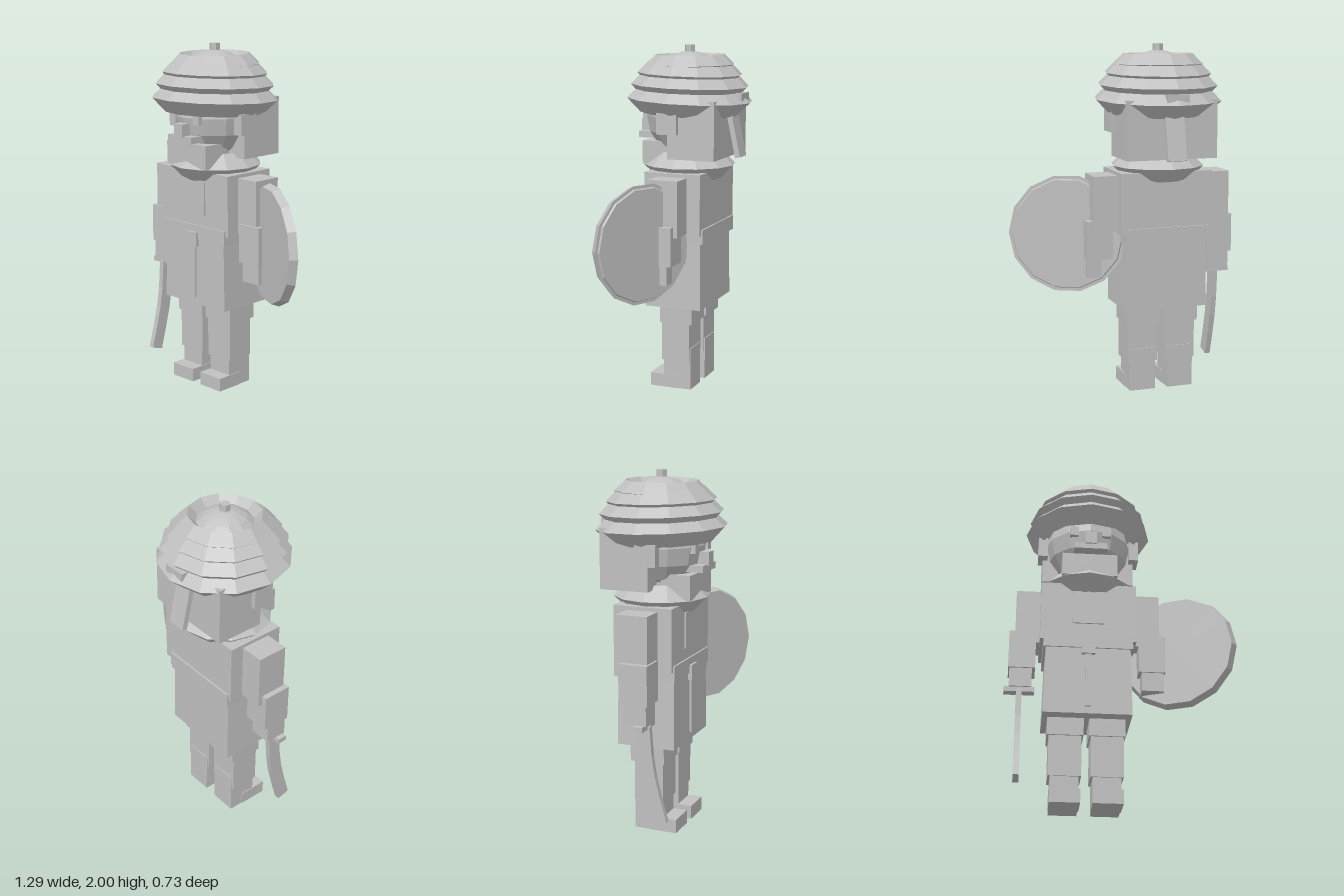
import * as THREE from 'three';

export function createModel() {
  const root = new THREE.Group();
  const grey = new THREE.MeshStandardMaterial({ color: 0xc0c0c0, flatShading: true });
  grey.name = 'stone grey';

  const figure = new THREE.Group();
  figure.name = 'figure';
  figure.position.x = -0.185;
  root.add(figure);

  const add = (name, geometry, x = 0, y = 0, z = 0, parent = figure) => {
    const mesh = new THREE.Mesh(geometry, grey);
    mesh.name = name;
    mesh.position.set(x, y, z);
    parent.add(mesh);
    return mesh;
  };
  // Box from its limits: x centre and width, then y and z ranges
  const block = (name, x, w, y0, y1, z0, z1) =>
    add(name, new THREE.BoxGeometry(w, y1 - y0, z1 - z0), x, (y0 + y1) / 2, (z0 + z1) / 2);
  // Diamond-section ring lying flat, slightly tilted
  const ring = (name, radius, tube, y, tilt = 0) => {
    const g = new THREE.TorusGeometry(radius, tube, 4, 12).rotateX(Math.PI / 2);
    add(name, g, 0, y, 0).rotation.x = tilt;
  };

  // Legs and boots
  for (const s of [-1, 1]) {
    const x = s * 0.115;
    block('thigh', x, 0.2, 0.4, 0.56, -0.1, 0.1);
    block('lowerLeg', x, 0.18, 0.17, 0.4, -0.08, 0.09);
    block('boot', x, 0.155, 0, 0.25, -0.085, 0.083);
    block('foot', x, 0.165, 0, 0.078, 0, 0.165);
  }

  // Tunic skirt, flared a little towards the hem
  const skirt = new THREE.BoxGeometry(0.47, 0.45, 0.33);
  const p = skirt.attributes.position;
  for (let i = 0; i < p.count; i++) {
    if (p.getY(i) < 0) p.setXYZ(i, p.getX(i) * 1.045, p.getY(i), p.getZ(i) * 1.02);
  }
  add('skirt', skirt, 0, 0.725, 0.005);

  // Torso, belt and sash
  block('torso', 0, 0.54, 0.94, 1.29, -0.17, 0.17);
  block('chestPanel', 0, 0.18, 1.04, 1.24, 0.17, 0.179);
  block('belt', 0, 0.5, 0.89, 0.975, -0.18, 0.18);
  block('sashKnot', 0, 0.075, 0.85, 0.935, 0.165, 0.195);
  block('sashTail', 0, 0.032, 0.54, 0.87, 0.165, 0.185);

  // Arms
  for (const s of [-1, 1]) {
    block('upperArm', s * 0.338, 0.14, 0.95, 1.27, -0.09, 0.088);
    block('forearm', s * 0.365, 0.15, 0.79, 1.012, -0.065, 0.1);
    block('hand', s * 0.37, 0.125, 0.68, 0.8, -0.035, 0.09);
  }

  // Sword: guard and a curved blade of short straight pieces
  block('swordGuard', -0.375, 0.17, 0.652, 0.682, 0.025, 0.08);
  const blade = [[0.66, 0.055], [0.5, 0.066], [0.38, 0.085], [0.26, 0.115], [0.13, 0.152]];
  for (let i = 0; i < blade.length - 1; i++) {
    const [y0, z0] = blade[i], [y1, z1] = blade[i + 1];
    const g = new THREE.BoxGeometry(0.032, Math.hypot(y1 - y0, z1 - z0) + 0.008, 0.076);
    add('swordBlade', g, -0.375, (y0 + y1) / 2, (z0 + z1) / 2).rotation.x = Math.atan2(z0 - z1, y0 - y1);
  }

  // Neck scarf and neck
  ring('neckScarf', 0.187, 0.08, 1.315);
  add('neck', new THREE.CylinderGeometry(0.15, 0.15, 0.2, 10), 0, 1.32, 0);

  // Head
  add('face', new THREE.SphereGeometry(0.25, 12, 8), 0, 1.6, 0);
  block('hair', 0, 0.53, 1.37, 1.7, -0.25, 0.03);
  block('beard', 0, 0.315, 1.32, 1.455, 0.06, 0.23);
  block('moustache', 0, 0.19, 1.465, 1.502, 0.18, 0.28);
  block('nose', 0, 0.065, 1.495, 1.57, 0.2, 0.29);
  for (const s of [-1, 1]) {
    block('eye', s * 0.093, 0.048, 1.568, 1.625, 0.19, 0.245);
    block('ear', s * 0.265, 0.055, 1.51, 1.63, -0.035, 0.085);
  }

  // Turban: stacked rings, dome and knob
  ring('turbanRing', 0.285, 0.08, 1.69, -0.04);
  ring('turbanRing', 0.268, 0.075, 1.772, -0.03);
  ring('turbanRing', 0.235, 0.07, 1.838, -0.03);
  ring('turbanRing', 0.2, 0.058, 1.887, 0.01);
  add('turbanDome', new THREE.SphereGeometry(0.215, 12, 8, 0, Math.PI * 2, 0, Math.PI / 2), 0, 1.75, 0);
  add('turbanBase', new THREE.CylinderGeometry(0.28, 0.28, 0.04, 12), 0, 1.69, 0);
  add('turbanKnob', new THREE.CylinderGeometry(0.03, 0.03, 0.07, 6), 0, 1.965, 0);

  // Turban knot and hanging tail at the back
  block('turbanKnot', 0, 0.13, 1.69, 1.735, -0.338, -0.28);
  add('turbanTail', new THREE.BoxGeometry(0.11, 0.36, 0.03), 0, 1.545, -0.277).rotation.x = 0.21;

  // Shield: round tapered plate with a raised disc on the back
  const shield = new THREE.Group();
  shield.name = 'shield';
  shield.position.set(0.328, 0.927, 0.08);
  shield.rotation.y = -0.45;
  root.add(shield);
  const disc = (front, back, depth) =>
    new THREE.CylinderGeometry(front, back, depth, 14).rotateY(Math.PI / 2).rotateX(Math.PI / 2);
  add('shieldPlate', disc(0.325, 0.342, 0.045), 0, 0, 0, shield);
  add('shieldBack', disc(0.325, 0.318, 0.012), 0, 0, -0.026, shield);

  return root;
}
